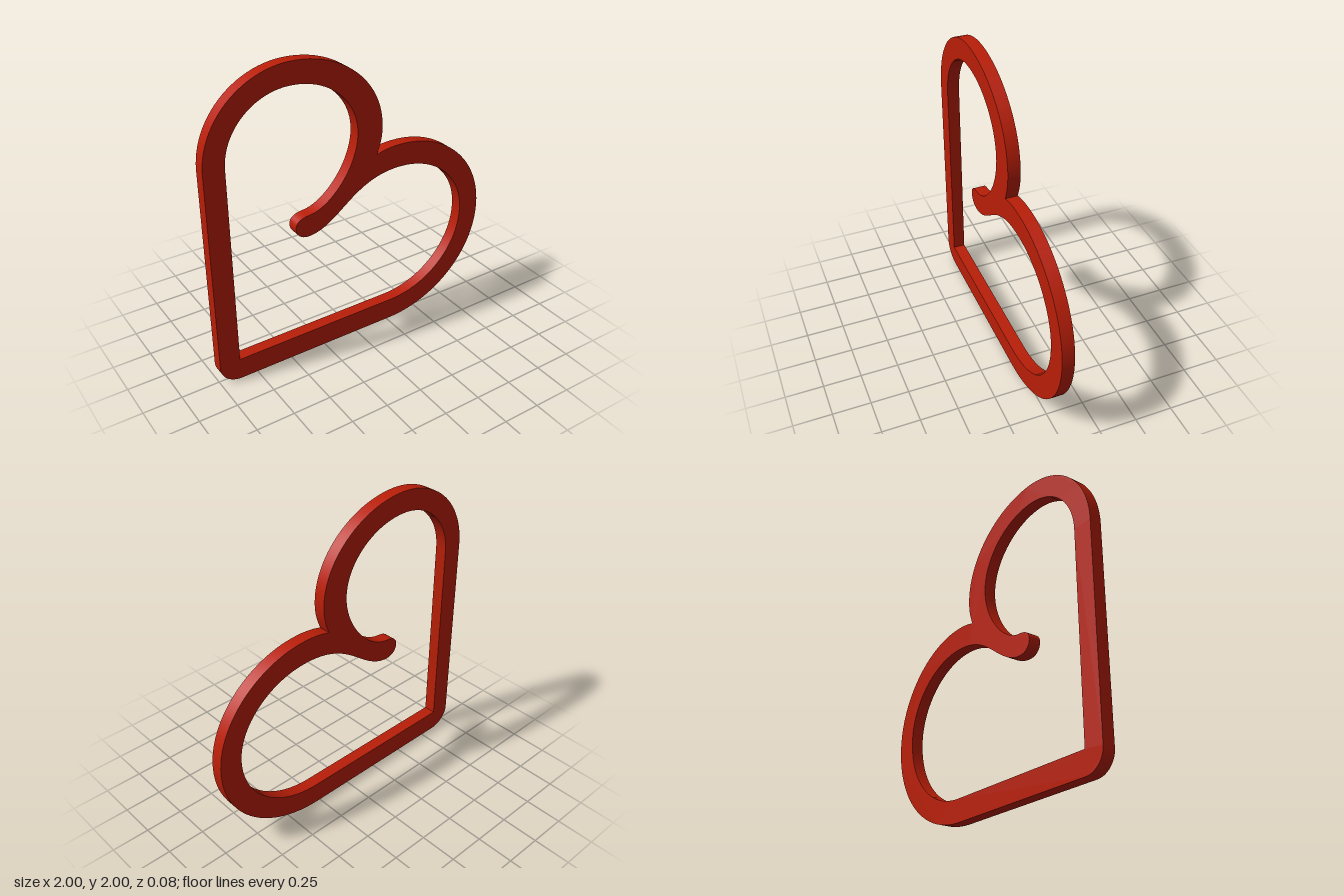
import * as THREE from 'three';
import { toCreasedNormals } from 'three/addons/utils/BufferGeometryUtils.js';

const K = 0.552; // quarter-ellipse handle ratio

// Quarter ellipse from the current point; leaves vertically or horizontally
function quarter(path, x, y, vertical) {
  const { x: px, y: py } = path.currentPoint;
  const dx = (x - px) * K, dy = (y - py) * K;
  if (vertical) path.bezierCurveTo(px, py + dy, x - dx, y, x, y);
  else path.bezierCurveTo(px + dx, py, x, y - dy, x, y);
}

export function createModel() {
  const group = new THREE.Group();
  const red = new THREE.MeshStandardMaterial({ color: 0xb91e08 });
  red.name = 'red';

  // Outer edge: straight side, upper lobe, notch, lower lobe, rounded tip
  const outline = new THREE.Shape();
  outline.moveTo(-1, 0.13);
  outline.lineTo(-1, 1.46);
  quarter(outline, -0.44, 2, true);
  quarter(outline, 0.19, 1.46, false);
  outline.bezierCurveTo(0.19, 1.39, 0.175, 1.34, 0.15, 1.28);
  outline.bezierCurveTo(0.2, 1.297, 0.26, 1.305, 0.32, 1.305);
  quarter(outline, 1, 0.67, false);
  quarter(outline, 0.27, 0, true);
  outline.lineTo(-0.86, 0);
  quarter(outline, -1, 0.13, false);

  // Inner edge, including the curled tail with its rounded end
  const opening = new THREE.Path();
  opening.moveTo(-0.865, 0.145);
  opening.lineTo(-0.865, 1.46);
  quarter(opening, -0.45, 1.86, true);
  quarter(opening, 0.01, 1.46, false);
  opening.bezierCurveTo(0.01, 1.25, -0.18, 1.02, -0.34, 1.008);
  opening.bezierCurveTo(-0.395, 1.004, -0.435, 0.985, -0.435, 0.94);
  opening.bezierCurveTo(-0.435, 0.895, -0.4, 0.863, -0.35, 0.863);
  opening.bezierCurveTo(-0.22, 0.863, -0.11, 0.985, 0, 1.055);
  opening.bezierCurveTo(0.1, 1.12, 0.2, 1.15, 0.32, 1.15);
  quarter(opening, 0.85, 0.68, false);
  quarter(opening, 0.28, 0.148, true);
  opening.lineTo(-0.865, 0.145);
  // The hole runs against the outline so its walls face inward
  outline.holes.push(new THREE.Path(opening.getPoints(24).reverse()));

  const geometry = new THREE.ExtrudeGeometry(outline, {
    depth: 0.08, bevelEnabled: false, curveSegments: 24,
  });
  geometry.translate(0, 0, -0.04);

  const frame = new THREE.Mesh(toCreasedNormals(geometry, 0.5), red);
  frame.name = 'heartFrame';
  group.add(frame);
  return group;
}
